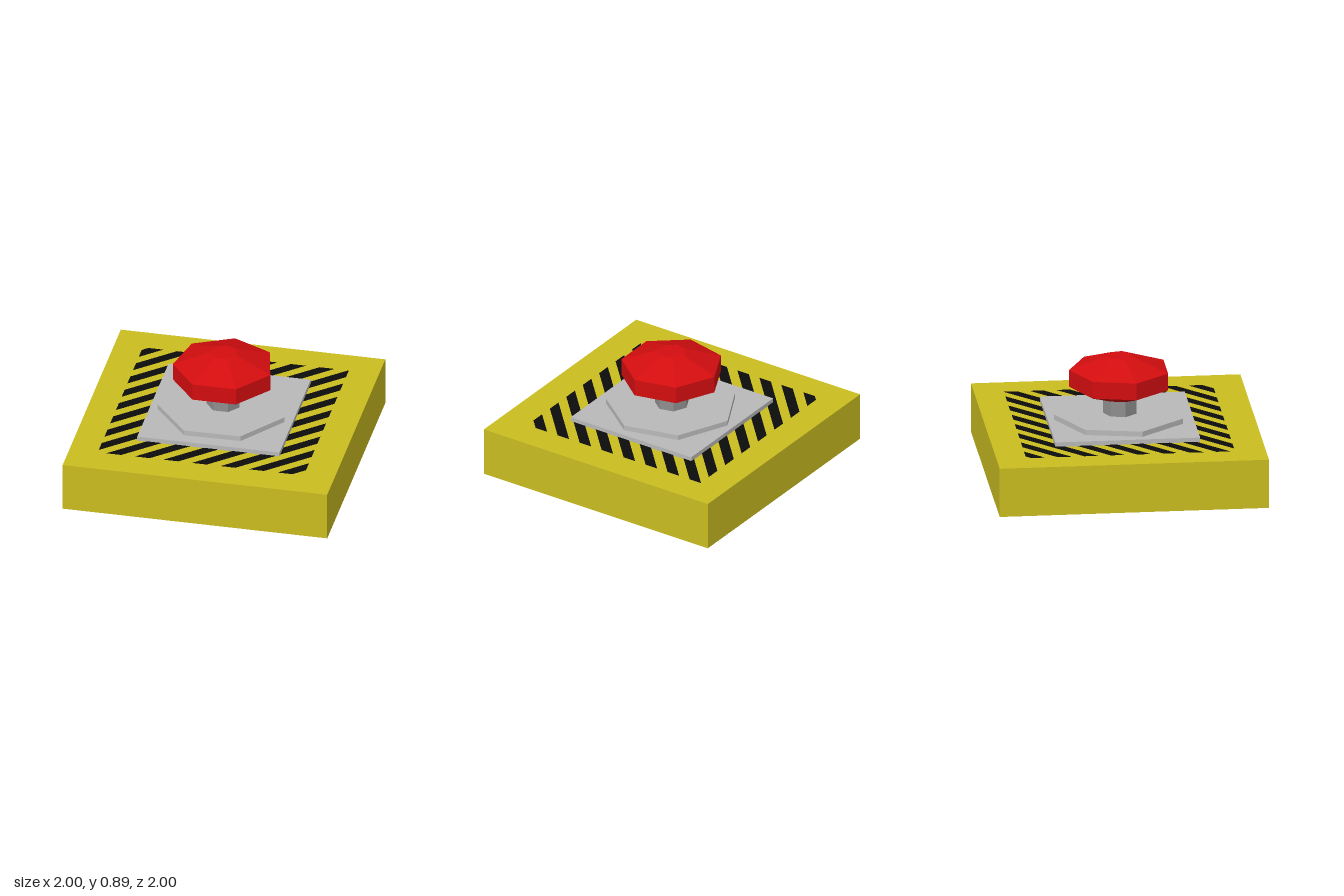
import * as THREE from 'three';

const material = (name, color) => {
  const m = new THREE.MeshStandardMaterial({ color });
  m.name = name;
  return m;
};

// Separate faces so that every facet has its own flat normal
function faceted(geometry) {
  const g = geometry.toNonIndexed();
  g.computeVertexNormals();
  return g;
}

// Keep the part of a polygon where sign * point[axis] <= limit
function clip(points, axis, sign, limit) {
  const out = [];
  points.forEach((a, i) => {
    const b = points[(i + 1) % points.length];
    const da = limit - sign * a[axis];
    const db = limit - sign * b[axis];
    if (da >= 0) out.push(a);
    if (da * db < 0) out.push(a.clone().lerp(b, da / (da - db)));
  });
  return out;
}

export function createModel() {
  const yellow = material('yellow', 0xcabd20);
  const black = material('black', 0x0c0c0c);
  const lightGrey = material('lightGrey', 0xb9b9b9);
  const darkGrey = material('darkGrey', 0x8e8e8e);
  const red = material('red', 0xd30d0f);

  const model = new THREE.Group();
  model.name = 'pushButton';
  const add = (name, geometry, mat, y, parent = model) => {
    const mesh = new THREE.Mesh(geometry, mat);
    mesh.name = name;
    mesh.position.y = y;
    parent.add(mesh);
  };

  // Seven-sided solid turned from [radius, height] pairs, bottom to top
  const heptagon = (profile, turn = 0) => faceted(new THREE.LatheGeometry(
    profile.map(([r, y]) => new THREE.Vector2(r, y)), 7, Math.PI + turn));

  // Base block and square plate
  add('base', new THREE.BoxGeometry(2, 0.375, 2), yellow, 0.1875);
  add('mountingPlate', new THREE.BoxGeometry(1.076, 0.035, 1.076), lightGrey, 0.3925);

  // Collar, stem and button cap
  add('collar', heptagon([[0, 0.405], [0.49, 0.405], [0.49, 0.45], [0, 0.45]], 0.018), lightGrey, 0);
  add('stem', heptagon([[0, 0.44], [0.128, 0.44], [0.128, 0.58], [0, 0.58]]), darkGrey, 0);
  add('buttonCap', heptagon([
    [0, 0.565], [0.125, 0.565], [0.378, 0.66], [0.378, 0.79], [0.103, 0.89], [0, 0.89],
  ]), red, 0);

  // Diagonal warning stripes, trimmed to a square around the plate
  const stripes = new THREE.Group();
  stripes.name = 'warningStripes';
  model.add(stripes);
  const slope = 0.91, width = 0.113, pitch = 0.2157, reach = 1;
  for (let i = 0; i < 16; i++) {
    const x = -1.6 + i * pitch;
    const dx = reach / slope;
    let points = [
      new THREE.Vector2(x - dx, -reach), new THREE.Vector2(x + width - dx, -reach),
      new THREE.Vector2(x + width + dx, reach), new THREE.Vector2(x + dx, reach),
    ];
    points = clip(points, 'x', 1, 0.772);
    points = clip(points, 'x', -1, 0.785);
    points = clip(points, 'y', 1, 0.78);
    points = clip(points, 'y', -1, 0.77);
    if (points.length < 3) continue;
    const g = new THREE.ShapeGeometry(new THREE.Shape(points));
    g.rotateX(-Math.PI / 2);
    add('stripe', g, black, 0.378, stripes);
  }

  return model;
}
